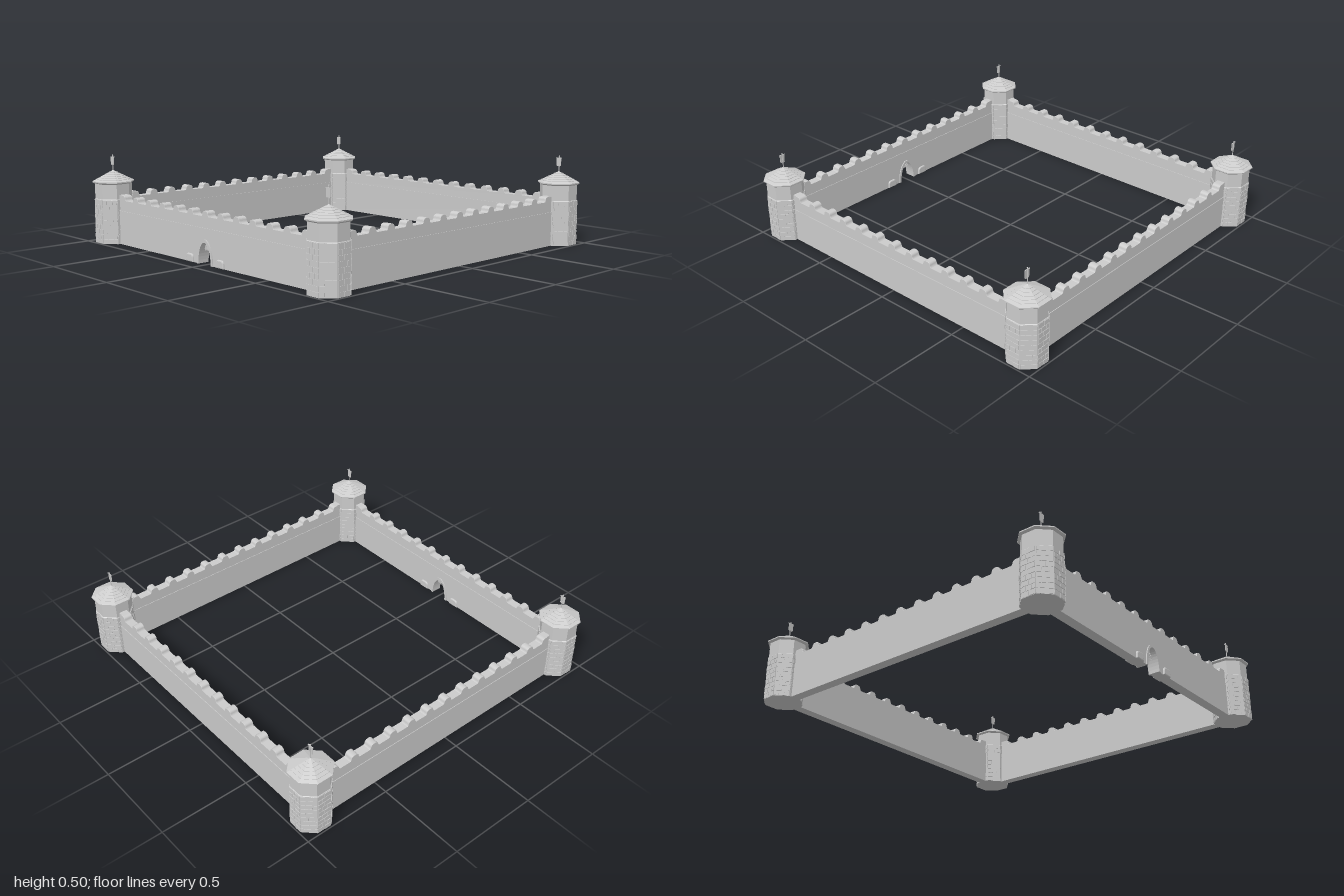
import * as THREE from 'three';

const flat = new THREE.MeshStandardMaterial({ color: 0xcccccc, flatShading: true });
const smooth = new THREE.MeshStandardMaterial({ color: 0xcccccc });
const OCT = Math.PI / 8;
const CORNER = 0.89; // tower centre
const WALL_H = 0.25;
const LEDGE = 0.19;

function add(parent, name, geometry, x = 0, y = 0, z = 0, material = flat) {
  const mesh = new THREE.Mesh(geometry, material);
  mesh.name = name;
  mesh.position.set(x, y, z);
  parent.add(mesh);
  return mesh;
}

// Extrusion centred on z = 0
function slab(shape, depth, bevel = 0) {
  const g = new THREE.ExtrudeGeometry(shape, {
    depth: depth - 2 * bevel, curveSegments: 10, bevelEnabled: bevel > 0,
    bevelSize: bevel, bevelThickness: bevel, bevelOffset: -bevel, bevelSegments: 2,
  });
  return g.translate(0, 0, -(depth - 2 * bevel) / 2);
}

// Eight-sided solid of revolution; profile is [apothem, height] pairs
function octagon(profile) {
  const pts = profile.map(([a, y]) => new THREE.Vector2(a / Math.cos(OCT), y));
  return new THREE.LatheGeometry(pts, 8, OCT);
}

// Half-ellipse points from right to left
function archPoints(rx, ry, n = 20) {
  return Array.from({ length: n + 1 }, (_, i) => {
    const t = (i / n) * Math.PI;
    return new THREE.Vector2(rx * Math.cos(t), ry * Math.sin(t));
  });
}

function merlonShape() {
  const s = new THREE.Shape();
  s.moveTo(-0.034, -0.002);
  s.quadraticCurveTo(-0.025, 0.002, -0.023, 0.014);
  s.quadraticCurveTo(-0.02, 0.029, 0, 0.029);
  s.quadraticCurveTo(0.02, 0.029, 0.023, 0.014);
  s.quadraticCurveTo(0.025, 0.002, 0.034, -0.002);
  s.closePath();
  return s;
}

function makeWall(withGate) {
  const wall = new THREE.Group();
  wall.name = withGate ? 'gateWall' : 'wall';
  const half = 0.81;
  const base = new THREE.Shape();
  base.moveTo(half, 0);
  base.lineTo(half, LEDGE);
  base.lineTo(-half, LEDGE);
  base.lineTo(-half, 0);
  if (withGate) archPoints(0.055, 0.12).reverse().forEach(p => base.lineTo(p.x, p.y));
  base.closePath();
  add(wall, 'wallBase', slab(base, 0.055));
  add(wall, 'parapet', new THREE.BoxGeometry(2 * half, WALL_H - LEDGE, 0.049), 0, (WALL_H + LEDGE) / 2, 0);

  const merlon = slab(merlonShape(), 0.049, 0.002);
  for (let i = -6; i <= 6; i++) {
    const end = Math.abs(i) === 6;
    add(wall, 'merlon', merlon, i * 0.1265, WALL_H, 0);
    if (end) add(wall, 'endMerlon', new THREE.BoxGeometry(0.045, 0.029, 0.046), Math.sign(i) * 0.782, WALL_H + 0.0143, 0);
  }
  if (withGate) wall.add(makeGate());
  return wall;
}

function makeGate() {
  const gate = new THREE.Group();
  gate.name = 'gate';
  // Arched surround
  const frame = new THREE.Shape([...archPoints(0.066, 0.132), ...archPoints(0.052, 0.116).reverse()]);
  add(gate, 'gateFrame', slab(frame, 0.066));
  // Raised portcullis, bars cut to the arch
  for (let i = -4; i <= 4; i++) {
    const x = i * 0.008;
    const top = 0.118 * Math.sqrt(1 - (x / 0.052) ** 2);
    const bottom = 0.07;
    add(gate, 'portcullisBar', new THREE.BoxGeometry(0.003, top - bottom, 0.004), x, (top + bottom) / 2, 0);
    const spike = add(gate, 'portcullisSpike', new THREE.ConeGeometry(0.002, 0.006, 4), x, bottom - 0.003, 0);
    spike.rotation.x = Math.PI;
  }
  for (let y = 0.077; y < 0.112; y += 0.008) {
    const w = 0.052 * Math.sqrt(1 - (y / 0.118) ** 2);
    add(gate, 'portcullisRail', new THREE.BoxGeometry(2 * w, 0.003, 0.004), 0, y, 0);
  }
  // Rounded buttress stones either side
  const s = new THREE.Shape();
  s.moveTo(-0.032, 0);
  s.lineTo(-0.03, 0.026);
  s.quadraticCurveTo(-0.027, 0.044, -0.01, 0.044);
  s.lineTo(0.01, 0.044);
  s.quadraticCurveTo(0.027, 0.044, 0.03, 0.026);
  s.lineTo(0.032, 0);
  s.closePath();
  for (const side of [-1, 1]) add(gate, 'buttressStone', slab(s, 0.074, 0.006), side * 0.127, 0, 0);
  return gate;
}

function makeTower() {
  const tower = new THREE.Group();
  tower.name = 'tower';
  add(tower, 'towerBase', octagon([[0, 0], [0.099, 0], [0.099, WALL_H], [0.096, WALL_H + 0.003], [0, WALL_H + 0.003]]));
  add(tower, 'towerTop', octagon([[0, 0.245], [0.096, 0.245], [0.096, 0.345], [0, 0.345]]));

  // Staggered masonry on every face
  const rows = 9, rowH = WALL_H / rows, faceW = 0.08;
  const stone = new THREE.BoxGeometry(1, rowH - 0.004, 0.006);
  for (let f = 0; f < 8; f++) {
    const face = new THREE.Group();
    face.name = 'masonryFace';
    face.rotation.y = f * 2 * OCT;
    for (let r = 0; r < rows; r++) {
      const cuts = (r + f) % 2 ? [0, 0.3, 0.72, 1] : [0, 0.5, 1];
      for (let c = 0; c < cuts.length - 1; c++) {
        const mid = ((cuts[c] + cuts[c + 1]) / 2 - 0.5) * faceW;
        const out = 0.0975 + ((r * 5 + c * 3 + f * 2) % 4) * 0.0006;
        const m = add(face, 'stone', stone, mid, (r + 0.5) * rowH, out);
        m.scale.x = (cuts[c + 1] - cuts[c]) * faceW - 0.004;
      }
    }
    tower.add(face);
  }

  // Roof of stepped shingle courses
  const profile = [[0, 0.338], [0.1, 0.338], [0.109, 0.345], [0.109, 0.351]];
  const steps = 6;
  for (let i = 0; i < steps; i++) {
    const a = 0.107 - i * 0.0165;
    const y = 0.352 + i * 0.0092;
    profile.push([a, y], [a - 0.0165, y + 0.007]);
  }
  profile.push([0, 0.412]);
  add(tower, 'roof', octagon(profile));

  // Banner on a pole
  add(tower, 'pole', new THREE.CylinderGeometry(0.0025, 0.0025, 0.095, 8), 0, 0.447, 0, smooth);
  add(tower, 'poleTip', new THREE.SphereGeometry(0.004, 8, 6), 0, 0.494, 0, smooth);
  add(tower, 'crossbar', new THREE.BoxGeometry(0.036, 0.004, 0.004), 0, 0.484, 0.002);
  const cloth = new THREE.Shape();
  cloth.moveTo(-0.015, 0.484);
  cloth.lineTo(-0.014, 0.441);
  cloth.lineTo(-0.007, 0.437);
  cloth.lineTo(0, 0.441);
  cloth.lineTo(0.007, 0.437);
  cloth.lineTo(0.014, 0.441);
  cloth.lineTo(0.015, 0.484);
  cloth.closePath();
  add(tower, 'banner', slab(cloth, 0.003), 0, 0, 0.003);
  return tower;
}

export function createModel() {
  const castle = new THREE.Group();
  castle.name = 'castleWalls';
  for (let i = 0; i < 4; i++) {
    const side = new THREE.Group();
    side.name = 'side';
    side.rotation.y = (i * Math.PI) / 2;
    const wall = makeWall(i === 0);
    wall.position.z = CORNER;
    side.add(wall);
    castle.add(side);
  }
  for (const x of [-CORNER, CORNER]) {
    for (const z of [-CORNER, CORNER]) {
      const tower = makeTower();
      tower.position.set(x, 0, z);
      castle.add(tower);
    }
  }
  return castle;
}
